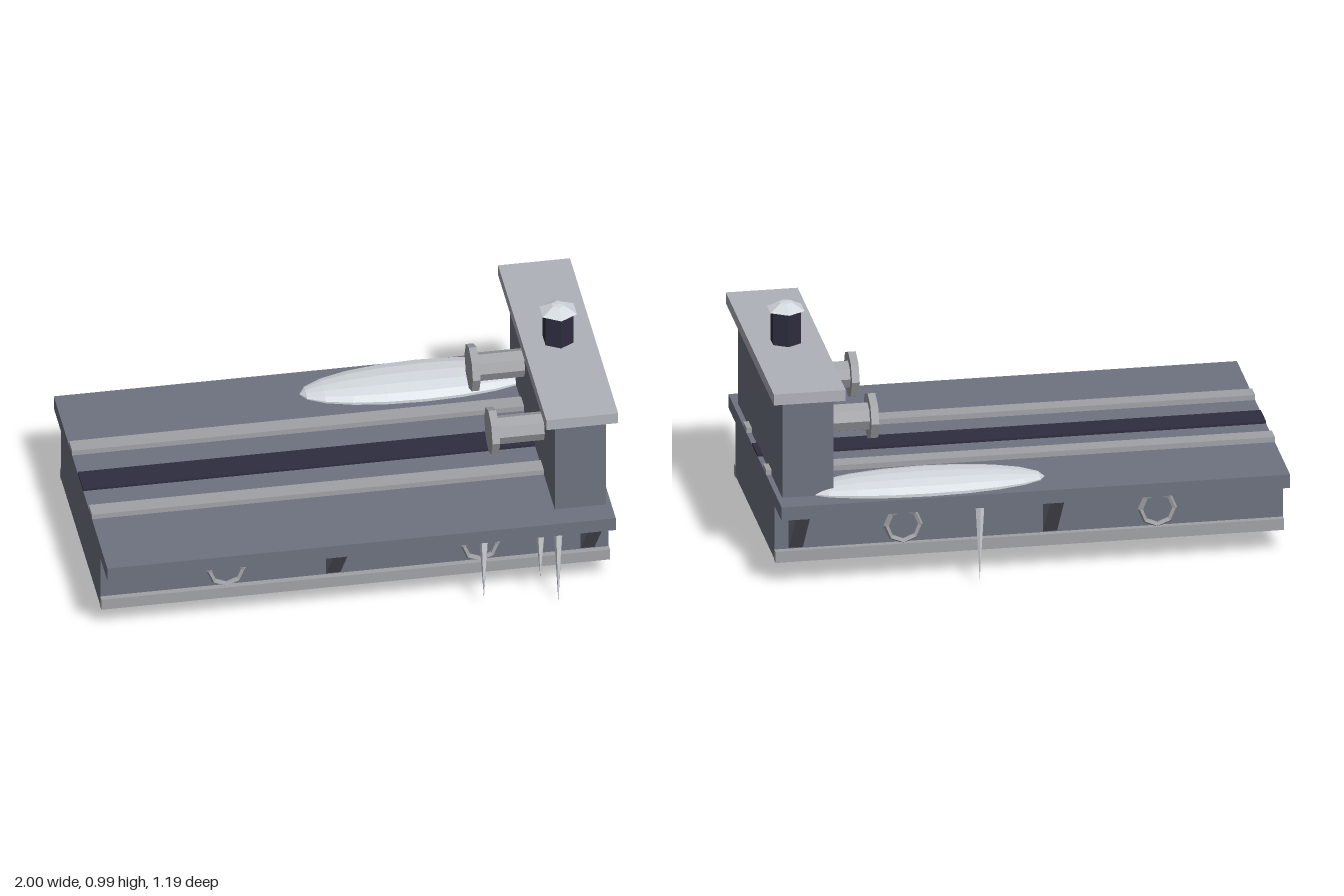
import * as THREE from 'three';

const mat = (name, color) => {
  const m = new THREE.MeshStandardMaterial({ color, flatShading: true });
  m.name = name;
  return m;
};

export function createModel() {
  const hullGrey = mat('hull grey', 0x6e7380);
  const trimGrey = mat('trim grey', 0xa0a2a6);
  const capGrey = mat('cap grey', 0xb0b2ba);
  const dark = mat('dark violet', 0x2f2d3f);
  const ice = mat('ice white', 0xd3d8de);

  const group = new THREE.Group();
  const add = (name, geometry, material, x = 0, y = 0, z = 0) => {
    const mesh = new THREE.Mesh(geometry, material);
    mesh.name = name;
    mesh.position.set(x, y, z);
    group.add(mesh);
    return mesh;
  };
  // Box given by its limits on each axis
  const box = (name, material, x0, x1, y0, y1, z0, z1) =>
    add(name, new THREE.BoxGeometry(x1 - x0, y1 - y0, z1 - z0), material,
      (x0 + x1) / 2, (y0 + y1) / 2, (z0 + z1) / 2);
  const prism = (points, depth) => new THREE.ExtrudeGeometry(
    new THREE.Shape(points.map(([a, b]) => new THREE.Vector2(a, b))),
    { depth, bevelEnabled: false });

  // Base and deck
  box('hull', hullGrey, -1, 0.98, 0.1, 0.32, -0.437, 0.437);
  box('deck', hullGrey, -1, 0.98, 0.32, 0.375, -0.594, 0.594);
  box('deckStripe', dark, -1, 0.981, 0.375, 0.384, -0.06, 0.06);

  // End tower with its cap slab
  box('tower', hullGrey, 0.76, 0.96, 0.375, 0.775, -0.495, 0.495);
  box('towerCap', capGrey, 0.72, 1, 0.775, 0.82, -0.535, 0.535);

  // Chimney and its shallow lid
  add('chimney', new THREE.CylinderGeometry(0.063, 0.063, 0.137, 6), dark, 0.86, 0.887, 0);
  const lid = [[0, 0], [0.077, 0], [0.026, 0.028], [0, 0.031]];
  add('chimneyLid', new THREE.LatheGeometry(
    lid.map(([r, y]) => new THREE.Vector2(r, y)), 6), ice, 0.86, 0.955, 0);

  for (const side of [1, -1]) {
    // Rails on the deck and along the foot of the hull
    box('deckRail', trimGrey, -1, 0.981, 0.375, 0.396, side * 0.22 - 0.034, side * 0.22 + 0.034);
    box('footRail', trimGrey, -1, 0.981, 0.094, 0.14, side * 0.446 - 0.015, side * 0.446 + 0.015);

    // Buffers on the tower
    const rod = new THREE.CylinderGeometry(0.056, 0.056, 0.19, 8).rotateZ(Math.PI / 2);
    add('bufferRod', rod, trimGrey, 0.67, 0.578, side * 0.218);
    const disc = new THREE.CylinderGeometry(0.093, 0.093, 0.03, 8).rotateZ(Math.PI / 2);
    add('bufferDisc', disc, trimGrey, 0.565, 0.578, side * 0.218);

    // Rings on the hull sides
    for (const x of [-0.51, 0.48])
      add('ring', new THREE.TorusGeometry(0.066, 0.011, 5, 8), trimGrey, x, 0.21, side * 0.44);

    // Triangular brackets under the deck edge
    for (const x of [-0.0925, 0.8975]) {
      const bracket = prism([[0.43, 0.32], [0.43, 0.143], [0.437, 0.143], [0.594, 0.32]], 0.055)
        .translate(0, 0, -0.0275).rotateY(-Math.PI / 2);
      add('bracket', bracket, hullGrey, x).rotation.y = side > 0 ? 0 : Math.PI;
    }

    // Wedge feet under the tower
    add('footWedge', prism([[0.76, 0.1], [0.76, 0.094], [0.96, 0.063], [0.96, 0.1]], 0.06),
      hullGrey, 0, 0, side * 0.358 - 0.03);
  }

  // Snow drift lying on the deck
  const drift = new THREE.SphereGeometry(1, 14, 10).rotateZ(Math.PI / 2).scale(0.47, 0.054, 0.136);
  add('snowDrift', drift, ice, 0.4, 0.375, -0.445);

  // Icicles: x, tip height, z
  for (const [x, tip, z] of [[0.47, 0.05, 0.575], [0.69, 0.12, 0.575], [0.76, 0, 0.575], [0.205, 0.013, -0.573]]) {
    const length = 0.32 - tip;
    const icicle = new THREE.ConeGeometry(0.018, length, 5).rotateX(Math.PI);
    add('icicle', icicle, ice, x, tip + length / 2, z);
  }

  return group;
}
